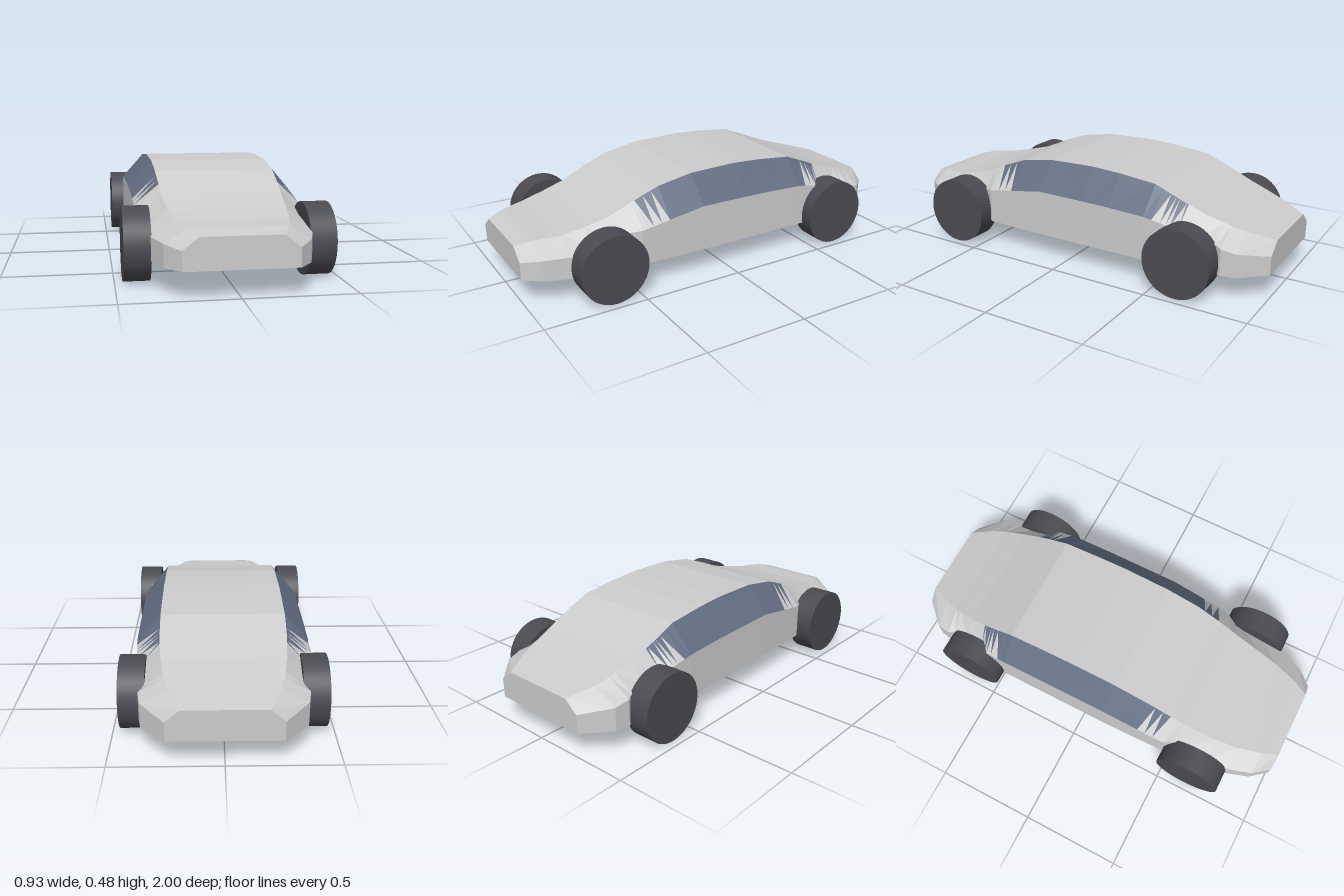
import * as THREE from 'three';

// Body stations, front to back: z, side half-width, shoulder height, roof half-width, roof height
const STATIONS = [
  [1, 0.245, 0.205, 0.175, 0.26],
  [0.92, 0.31, 0.22, 0.21, 0.28],
  [0.8, 0.35, 0.225, 0.245, 0.29],
  [0.69, 0.35, 0.245, 0.262, 0.313],
  [0.58, 0.35, 0.265, 0.273, 0.342],
  [0.51, 0.362, 0.28, 0.278, 0.37],
  [0.46, 0.39, 0.29, 0.281, 0.393],
  [0.32, 0.396, 0.315, 0.286, 0.447],
  [0.14, 0.4, 0.345, 0.287, 0.478],
  [-0.1, 0.4, 0.343, 0.288, 0.484],
  [-0.25, 0.4, 0.34, 0.288, 0.476],
  [-0.44, 0.4, 0.332, 0.288, 0.457],
  [-0.55, 0.394, 0.312, 0.287, 0.413],
  [-0.6, 0.36, 0.3, 0.285, 0.392],
  [-0.7, 0.35, 0.272, 0.277, 0.352],
  [-0.78, 0.355, 0.255, 0.263, 0.328],
  [-0.81, 0.372, 0.248, 0.258, 0.318],
  [-0.88, 0.36, 0.233, 0.24, 0.298],
  [-1, 0.25, 0.21, 0.185, 0.265],
];
const FLOOR = 0.12;
// Extra stations that shape the toothed window ends
const FRONT_TEETH = [0.445, 0.403, 0.361, 0.32];
const REAR_TEETH = [-0.48, -0.523, -0.567, -0.61];

function stationAt(z) {
  const i = Math.max(1, STATIONS.findIndex((s) => s[0] <= z));
  const a = STATIONS[i - 1], b = STATIONS[i];
  const t = (z - a[0]) / (b[0] - a[0]);
  return a.map((v, k) => v + (b[k] - v) * t);
}

// Six-sided section, anticlockwise seen from the front
function section(z) {
  const [, w, shoulder, roofW, roofY] = stationAt(z);
  return [
    [w, FLOOR], [w, shoulder], [roofW, roofY],
    [-roofW, roofY], [-w, shoulder], [-w, FLOOR],
  ].map(([x, y]) => [x, y, z]);
}

function meshOf(name, triangles, material) {
  const geometry = new THREE.BufferGeometry();
  geometry.setAttribute('position', new THREE.Float32BufferAttribute(triangles.flat(2), 3));
  geometry.computeVertexNormals();
  const mesh = new THREE.Mesh(geometry, material);
  mesh.name = name;
  return mesh;
}

export function createModel() {
  const car = new THREE.Group();
  car.name = 'car';
  const paint = new THREE.MeshStandardMaterial({ color: 0xcccccc, flatShading: true });
  const glass = new THREE.MeshStandardMaterial({ color: 0x636e82, flatShading: true });
  const rubber = new THREE.MeshStandardMaterial({ color: 0x4a4a51 });

  // Lofted shell; the upper side faces between the teeth become glass
  const zs = [...new Set([...STATIONS.map((s) => s[0]), ...FRONT_TEETH, ...REAR_TEETH])].sort((a, b) => b - a);
  const rings = zs.map(section);
  const shell = [], leftWindow = [], rightWindow = [];
  for (let i = 0; i < rings.length - 1; i++) {
    const mid = (zs[i] + zs[i + 1]) / 2;
    const inWindow = mid < FRONT_TEETH[0] && mid > REAR_TEETH[3];
    const solid = mid < FRONT_TEETH[3] && mid > REAR_TEETH[0];
    const front = mid > 0;
    for (let j = 0; j < 6; j++) {
      const k = (j + 1) % 6;
      const a = rings[i][j], b = rings[i][k], c = rings[i + 1][k], d = rings[i + 1][j];
      // Diagonal chosen so each tooth is wide at the roof and points down
      const left = j === 1, right = j === 3;
      const splitBD = right ? !front : front;
      const tris = splitBD ? [[a, d, b], [d, c, b]] : [[a, c, b], [a, d, c]];
      for (const tri of tris) {
        const roofPoints = tri.filter((p) => p === (left ? b : a) || p === (left ? c : d)).length;
        const isGlass = (left || right) && inWindow && (solid || roofPoints === 2);
        (isGlass ? (left ? leftWindow : rightWindow) : shell).push(tri);
      }
    }
  }
  // Nose and tail caps
  const nose = rings[0], tail = rings[rings.length - 1];
  for (let j = 1; j < 5; j++) {
    shell.push([nose[0], nose[j], nose[j + 1]], [tail[0], tail[j + 1], tail[j]]);
  }
  car.add(
    meshOf('body', shell, paint),
    meshOf('leftWindow', leftWindow, glass),
    meshOf('rightWindow', rightWindow, glass),
  );

  // Four plain wheels
  const wheelGeometry = new THREE.CylinderGeometry(0.166, 0.166, 0.118, 48).rotateZ(Math.PI / 2);
  for (const [end, z] of [['front', 0.635], ['rear', -0.635]]) {
    for (const [side, sign] of [['Left', 1], ['Right', -1]]) {
      const wheel = new THREE.Mesh(wheelGeometry, rubber);
      wheel.name = `${end}${side}Wheel`;
      wheel.position.set(sign * 0.405, 0.166, z);
      car.add(wheel);
    }
  }
  return car;
}
